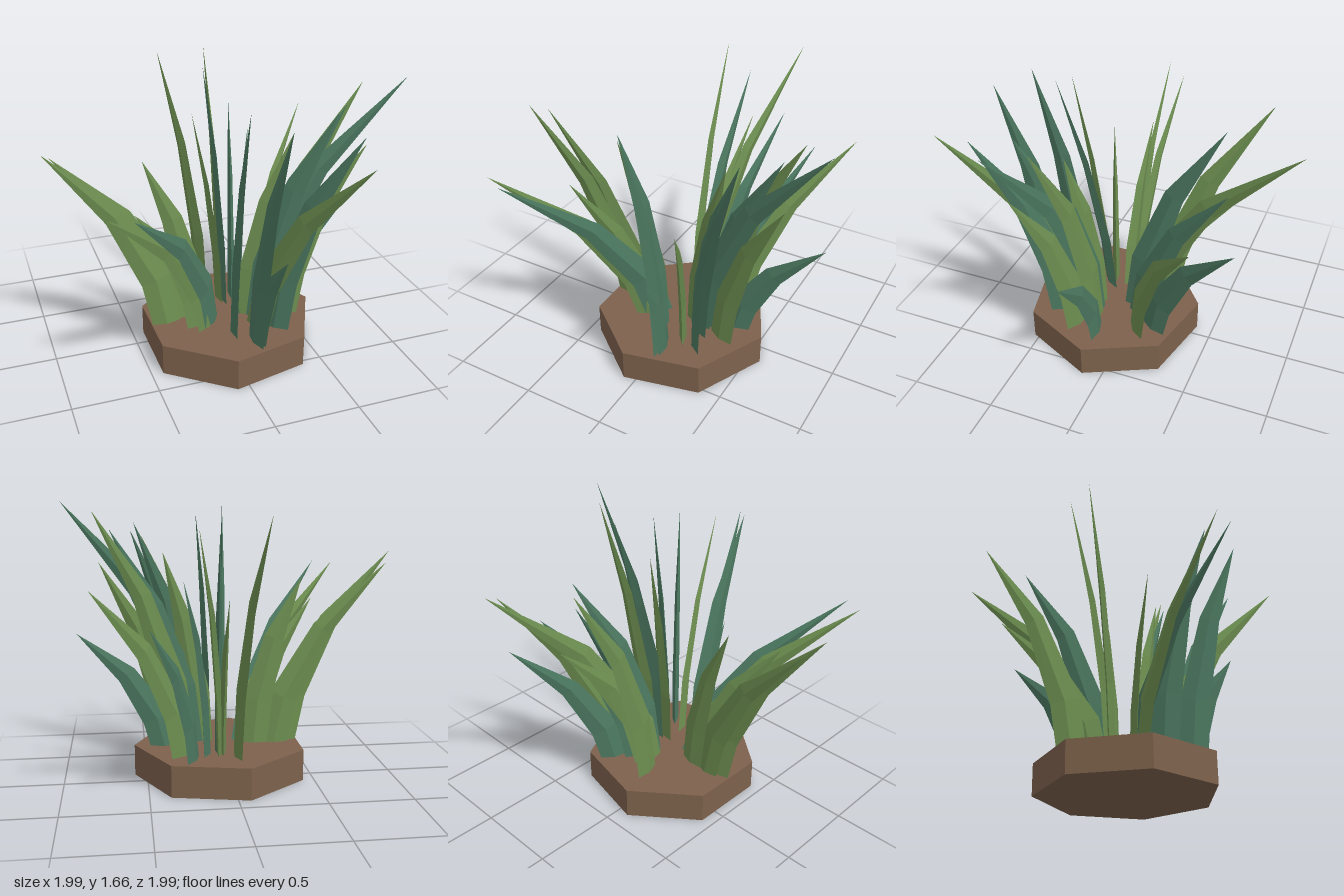
import * as THREE from 'three';

const mat = (color) => new THREE.MeshStandardMaterial({ color, flatShading: true, side: THREE.DoubleSide });

// One leaf blade: diamond cross-sections standing in the radial plane, bending outwards to a point
function bladeGeometry(sx, sz, tx, ty, tz) {
  const dir = new THREE.Vector3(tx - sx, 0, tz - sz).normalize();
  const side = new THREE.Vector3(-dir.z, 0, dir.x);
  const y0 = 0.16, width = 0.17;
  const reach = Math.hypot(tx - sx, tz - sz) - width / 2;
  const rise = ty - y0;
  // height fraction, reach fraction, half width, half thickness
  const rings = [
    [0, 0, 0.085, 0.02],
    [0.28, 0.1, 0.088, 0.021],
    [0.65, 0.44, 0.06, 0.016],
  ];
  const pos = [], index = [];
  const centre = ([h, r]) => [width / 2 + r * reach, y0 + h * rise];
  rings.forEach((ring, i) => {
    const [r, y] = centre(ring);
    const next = centre(rings[i + 1] || [1, 1]);
    const prev = i ? centre(rings[i - 1]) : [r, y];
    // across the blade, square to its direction of growth (level at the foot)
    let a = Math.atan2(next[1] - prev[1], next[0] - prev[0]) - Math.PI / 2;
    if (i === 0) a = 0;
    const [, , w, t] = ring;
    for (let k = 0; k < 4; k++) {
      const u = Math.round(Math.cos(k * Math.PI / 2)) * w;
      const v = Math.round(Math.sin(k * Math.PI / 2)) * t;
      const rr = r + u * Math.cos(a);
      pos.push(sx + dir.x * rr + side.x * v, y + u * Math.sin(a), sz + dir.z * rr + side.z * v);
    }
  });
  pos.push(tx, ty, tz);
  const tip = rings.length * 4;
  for (let i = 0; i < rings.length; i++) {
    for (let k = 0; k < 4; k++) {
      const a = i * 4 + k, b = i * 4 + (k + 1) % 4;
      if (i === rings.length - 1) index.push(a, tip, b);
      else index.push(a, a + 4, b, b, a + 4, b + 4);
    }
  }
  const g = new THREE.BufferGeometry();
  g.setAttribute('position', new THREE.Float32BufferAttribute(pos, 3));
  g.setIndex(index);
  const flat = g.toNonIndexed();
  flat.computeVertexNormals();
  return flat;
}

// Foot x, z and tip x, y, z of each blade
const greenBlades = [
  [0.05, 0.0, 0.27, 1.57, -1.0],
  [-0.01, -0.09, -0.12, 1.62, -0.75],
  [0.05, 0.02, 0.09, 1.2, -0.7],
  [0.23, -0.06, 0.8, 1.24, -0.59],
  [0.2, 0.13, 0.8, 1.61, 0.235],
  [0.28, 0.2, 0.77, 1.29, 0.385],
  [0.12, 0.25, 0.49, 1.41, 0.99],
  [-0.05, 0.17, -0.8, 1.24, 0.77],
  [-0.08, 0.16, -0.57, 1.05, 0.365],
  [-0.25, 0.11, -1.0, 1.36, 0.14],
  [-0.19, 0.09, -0.95, 1.3, 0.03],
  [-0.07, 0.1, -0.44, 1.22, 0.05],
  [0.09, 0.15, 0.38, 1.36, 0.26],
];
const tealBlades = [
  [0.07, 0.04, 0.12, 1.55, -0.56],
  [0.12, -0.01, 0.32, 1.29, -0.64],
  [0.2, -0.13, 0.5, 1.06, -0.74],
  [0.3, 0.1, 0.9, 0.9, 0.07],
  [0.15, 0.14, 0.7, 1.5, 0.265],
  [0.1, 0.16, 0.99, 1.66, 0.385],
  [0.14, 0.19, 0.55, 1.53, 0.46],
  [0.2, 0.3, 0.57, 1.47, 0.72],
  [0.09, 0.38, 0.16, 0.82, 0.73],
  [0.08, 0.4, 0.13, 1.58, 0.8],
  [0.02, 0.25, -0.03, 1.64, 0.64],
  [-0.02, 0.13, -0.68, 1.24, 0.83],
];

export function createModel() {
  const model = new THREE.Group();
  model.name = 'plant';

  // Seven-sided soil base with one corner towards +x
  const base = new THREE.Mesh(new THREE.CylinderGeometry(0.53, 0.53, 0.19, 7), mat(0x7d624c));
  base.name = 'soilBase';
  base.rotation.y = -Math.PI / 2;
  base.geometry.rotateY(Math.PI);
  base.position.set(0.045, 0.095, 0.117);
  model.add(base);

  // Tuft of blades in two greens
  const addBlades = (list, name, color) => {
    const group = new THREE.Group();
    group.name = name;
    const material = mat(color);
    list.forEach((b, i) => {
      const mesh = new THREE.Mesh(bladeGeometry(...b), material);
      mesh.name = `${name}${i + 1}`;
      group.add(mesh);
    });
    model.add(group);
  };
  addBlades(greenBlades, 'greenBlade', 0x6f9152);
  addBlades(tealBlades, 'tealBlade', 0x4d7a62);
  return model;
}
